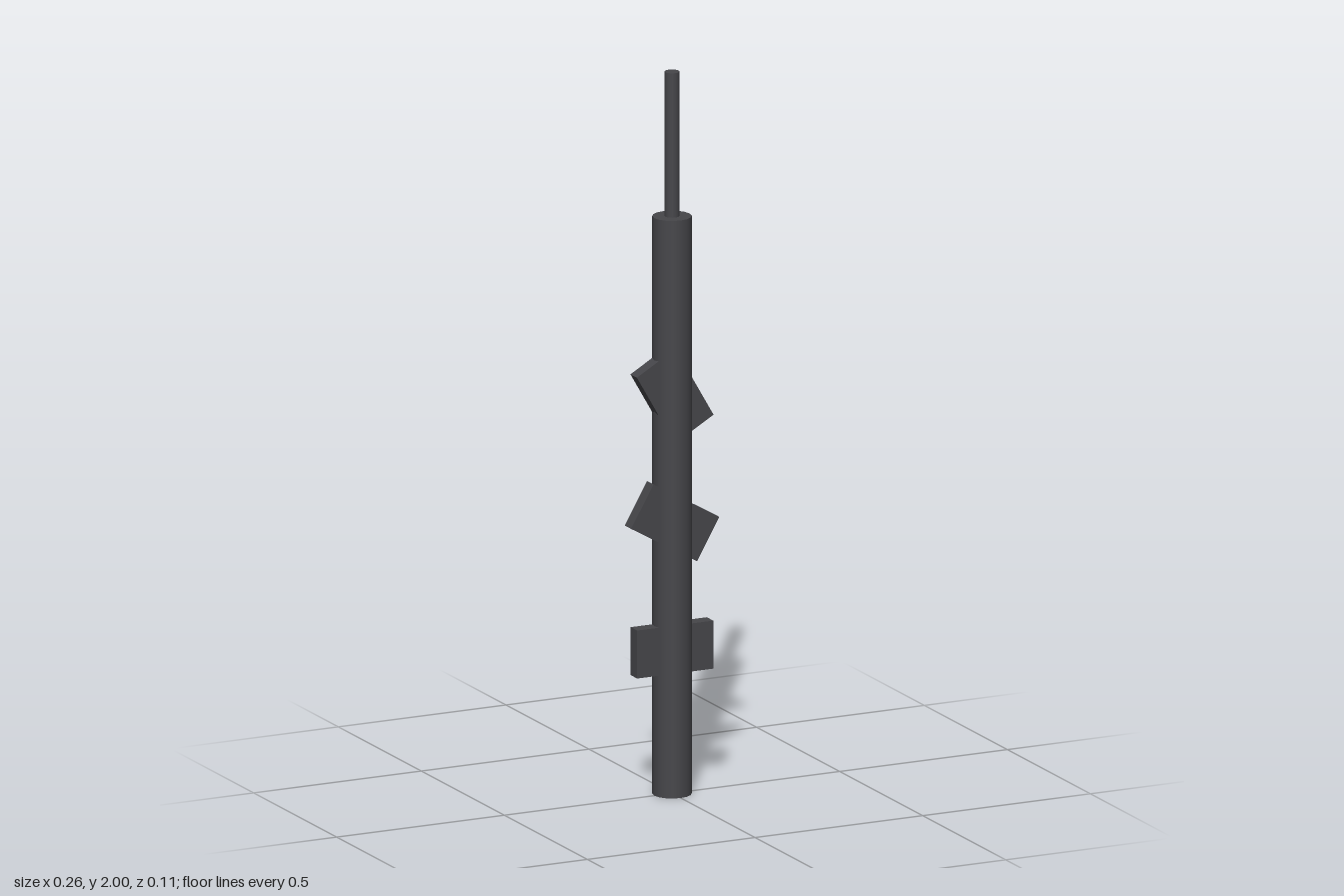
import * as THREE from 'three';

export function createModel() {
  const model = new THREE.Group();
  const darkMetal = new THREE.MeshStandardMaterial({ color: 0x46464a });
  darkMetal.name = 'dark metal';

  function add(name, geometry, y, tilt = 0) {
    const mesh = new THREE.Mesh(geometry, darkMetal);
    mesh.name = name;
    mesh.position.y = y;
    mesh.rotation.z = tilt;
    model.add(mesh);
  }

  // Main shaft and the thin rod on top
  add('shaft', new THREE.CylinderGeometry(0.053, 0.053, 1.6, 16), 0.8);
  add('topRod', new THREE.CylinderGeometry(0.02, 0.02, 0.4, 16), 1.8);

  // Three cross plates, each turned 30 degrees further than the one below
  const plate = new THREE.BoxGeometry(0.227, 0.133, 0.039);
  for (let i = 0; i < 3; i++) {
    add('crossPlate' + (i + 1), plate, 0.403 + i * 0.351, -i * Math.PI / 6);
  }
  return model;
}
